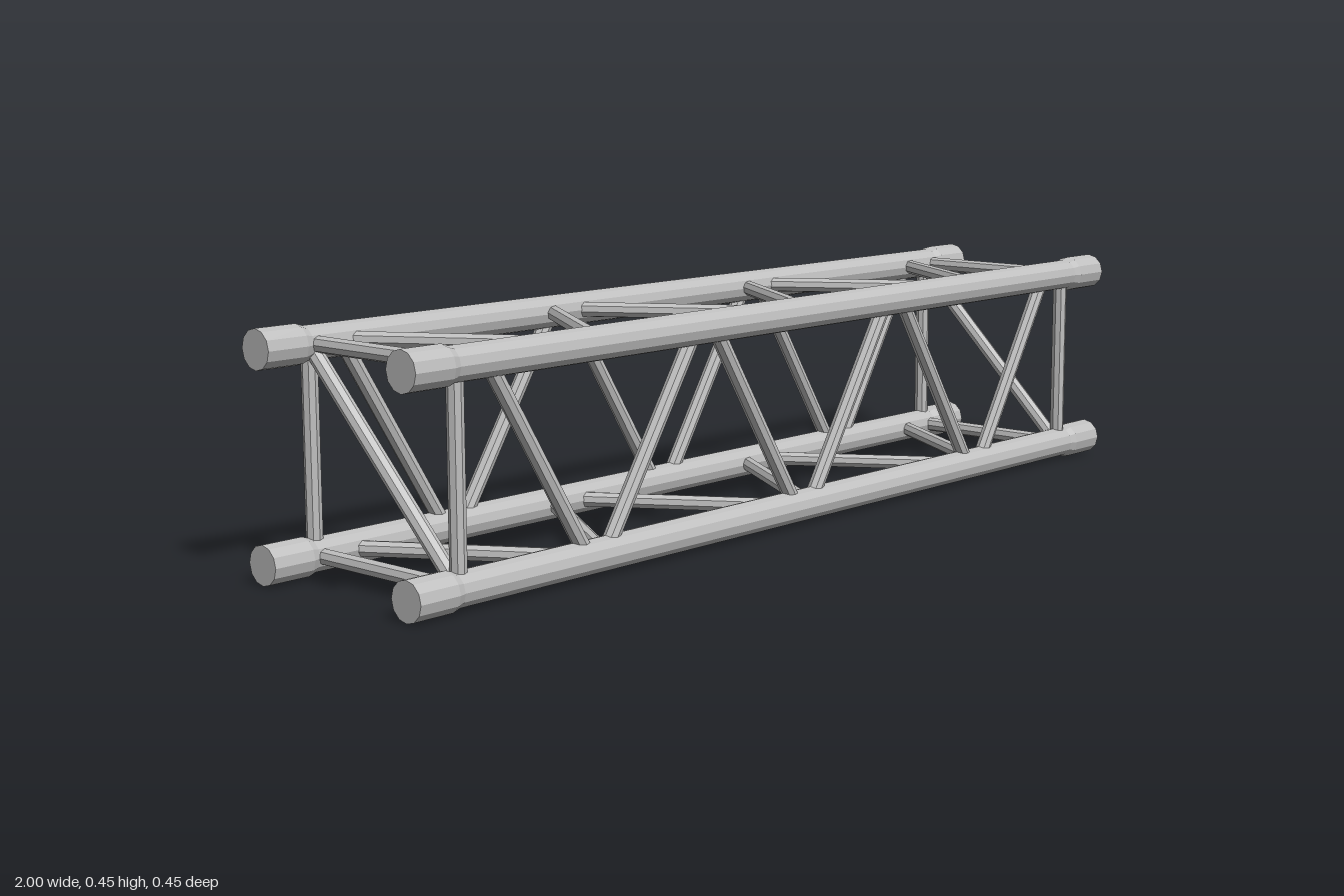
import * as THREE from 'three';

const LOW = 0.0365, HIGH = 0.4105, SIDE = 0.187;  // chord centre lines
const CHORD_R = 0.0315, COLLAR_R = 0.0365, BRACE_R = 0.015;
const END_X = 0.887;                              // end frame position

export function createModel() {
  const model = new THREE.Group();
  model.name = 'boxTruss';
  const metal = new THREE.MeshStandardMaterial({ color: 0xbfbfbf, flatShading: true });
  metal.name = 'aluminium';

  // Straight tube between two points
  const up = new THREE.Vector3(0, 1, 0);
  const brace = (name, a, b) => {
    const from = new THREE.Vector3(...a), to = new THREE.Vector3(...b);
    const dir = to.clone().sub(from);
    const mesh = new THREE.Mesh(
      new THREE.CylinderGeometry(BRACE_R, BRACE_R, dir.length(), 8), metal);
    mesh.position.copy(from).add(to).multiplyScalar(0.5);
    mesh.quaternion.setFromUnitVectors(up, dir.normalize());
    mesh.name = name;
    model.add(mesh);
  };

  // Four main chords with thicker collars at both ends
  const profile = [
    [0, -1], [COLLAR_R, -1], [COLLAR_R, -0.915], [CHORD_R, -0.9],
    [CHORD_R, 0.9], [COLLAR_R, 0.915], [COLLAR_R, 1], [0, 1],
  ].map(([r, y]) => new THREE.Vector2(r, y));
  const chordGeometry = new THREE.LatheGeometry(profile, 12).rotateZ(-Math.PI / 2);
  for (const y of [LOW, HIGH]) {
    for (const z of [-SIDE, SIDE]) {
      const chord = new THREE.Mesh(chordGeometry, metal);
      chord.position.set(0, y, z);
      chord.name = 'mainChord';
      model.add(chord);
    }
  }

  // Zigzag lacing: [x at top or back chord, x at bottom or front chord], mirrored in x
  const lacing = [[0.817, 0.587], [0.307, 0.545], [0.257, 0.022]];
  for (const s of [-1, 1]) {
    for (const [a, b] of lacing) {
      for (const z of [-SIDE, SIDE]) brace('sideLacing', [s * a, HIGH, z], [s * b, LOW, z]);
      for (const y of [LOW, HIGH]) brace('flatLacing', [s * a, y, -SIDE], [s * b, y, SIDE]);
    }

    // End frame: uprights, cross bars and one diagonal
    const x = s * END_X;
    for (const z of [-SIDE, SIDE]) brace('endUpright', [x, LOW, z], [x, HIGH, z]);
    for (const y of [LOW, HIGH]) brace('endCrossBar', [x, y, -SIDE], [x, y, SIDE]);
    brace('endDiagonal', [x, HIGH, -SIDE], [x, LOW, SIDE]);
  }
  return model;
}
